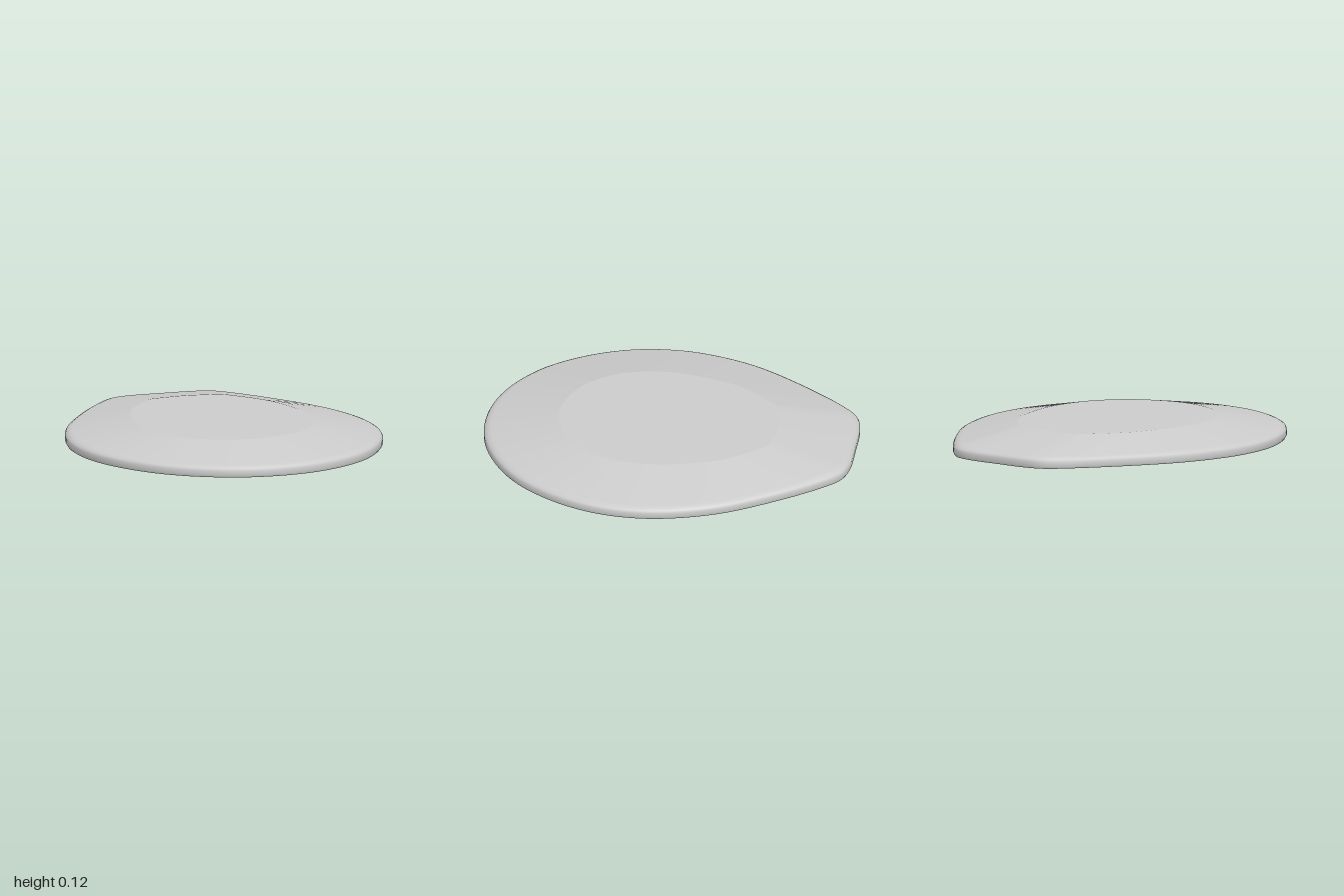
import * as THREE from 'three';

// Half outlines from back middle to front middle, as [x, z]
const OUTER = [[0, -1], [.2, -.995], [.3, -.965], [.4, -.87], [.6, -.6], [.74, -.36], [.82, -.12],
  [.845, .08], [.82, .31], [.73, .54], [.58, .75], [.4, .89], [.2, .975], [0, 1]];
const PLATEAU = [[0, -.58], [.1, -.57], [.2, -.55], [.26, -.49], [.38, -.33], [.43, -.2], [.465, -.06],
  [.48, .1], [.46, .24], [.42, .35], [.33, .47], [.25, .53], [.13, .58], [0, .6]];
const N = 104;

// Mirrored closed curve, sampled so that both outlines correspond point by point
function closedCurve(half) {
  const mirrored = half.slice(1, -1).reverse().map(([x, z]) => [-x, z]);
  const points = [...half, ...mirrored].map(([x, z]) => new THREE.Vector3(x, 0, z));
  return new THREE.CatmullRomCurve3(points, true);
}
const outer = closedCurve(OUTER);
const plateau = closedCurve(PLATEAU);

// Ring following the rim, moved inwards along its normal
function rimRing(inset, y) {
  return Array.from({ length: N }, (_, i) => {
    const p = outer.getPoint(i / N), t = outer.getTangent(i / N);
    return new THREE.Vector3(p.x - t.z * inset, y, p.z + t.x * inset);
  });
}

// Ring following the raised flat centre
function plateauRing(y) {
  return Array.from({ length: N }, (_, i) => plateau.getPoint(i / N).setY(y));
}

// Smooth band through consecutive rings
function band(rings) {
  const positions = rings.flat().flatMap((p) => [p.x, p.y, p.z]);
  const index = [];
  for (let r = 0; r < rings.length - 1; r++) {
    for (let i = 0; i < N; i++) {
      const j = (i + 1) % N;
      const a = r * N + i, b = r * N + j, c = a + N, d = b + N;
      index.push(a, c, b, b, c, d);
    }
  }
  const geometry = new THREE.BufferGeometry();
  geometry.setAttribute('position', new THREE.Float32BufferAttribute(positions, 3));
  geometry.setIndex(index);
  geometry.computeVertexNormals();
  return geometry;
}

// Flat face filling the plateau, facing up or down
function cap(y, up) {
  const shape = new THREE.Shape(plateauRing(0).map((p) => new THREE.Vector2(p.x, up ? -p.z : p.z)));
  return new THREE.ShapeGeometry(shape).rotateX(up ? -Math.PI / 2 : Math.PI / 2).translate(0, y, 0);
}

export function createModel() {
  const group = new THREE.Group();
  group.name = 'seatLid';
  const material = new THREE.MeshStandardMaterial({ color: 0xcccccc, side: THREE.DoubleSide });
  const add = (name, geometry) => {
    const mesh = new THREE.Mesh(geometry, material);
    mesh.name = name;
    group.add(mesh);
  };

  // Rounded outer edge and sloping top
  add('outerShell', band([
    rimRing(.006, 0), rimRing(0, .01), rimRing(0, .035), rimRing(.007, .048),
    rimRing(.022, .057), rimRing(.04, .063), plateauRing(.125),
  ]));
  add('topPlateau', cap(.125, true));

  // Hollow underside with a narrow rim
  add('rimBottom', band([rimRing(.035, 0), rimRing(.006, 0)]));
  add('innerWall', band([rimRing(.04, .035), rimRing(.035, 0)]));
  add('undersideSlope', band([plateauRing(.1), rimRing(.04, .035)]));
  add('undersidePlateau', cap(.1, false));
  return group;
}
